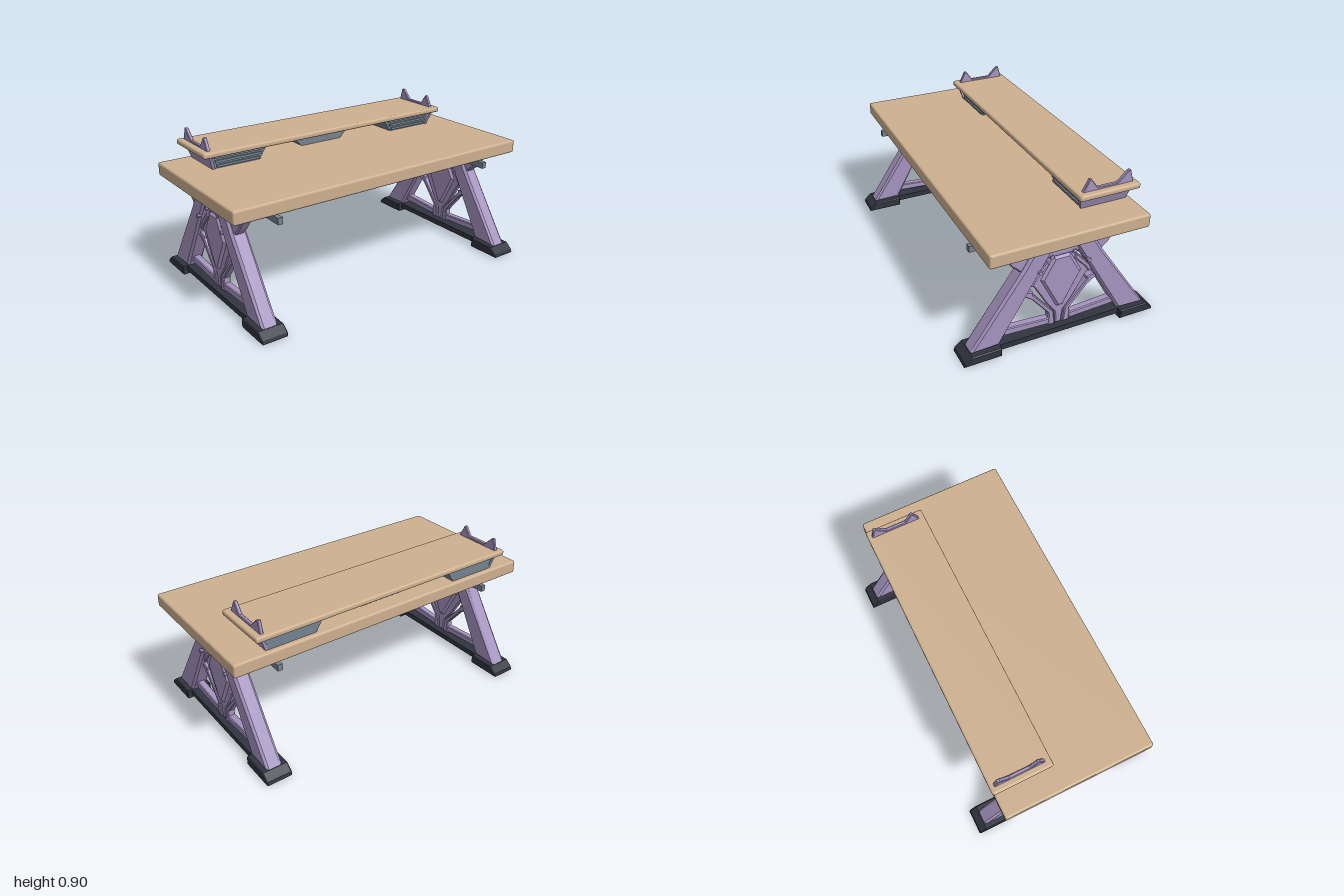
import * as THREE from 'three';
import { RoundedBoxGeometry } from 'three/addons/geometries/RoundedBoxGeometry.js';

const material = (color) => new THREE.MeshStandardMaterial({ color, flatShading: true });
const wood = material(0xcdb08f);
const violet = material(0xa594c0);
const dark = material(0x30343f);
const steel = material(0x74828f);

function add(parent, name, geometry, mat, x = 0, y = 0, z = 0) {
  const mesh = new THREE.Mesh(geometry, mat);
  mesh.name = name;
  mesh.position.set(x, y, z);
  parent.add(mesh);
  return mesh;
}

// Bevelled extrusion of an outline, centred on its own depth
function slab(points, width, bevel) {
  const shape = new THREE.Shape(points.map(([a, b]) => new THREE.Vector2(a, b)));
  const g = new THREE.ExtrudeGeometry(shape, {
    depth: width - 2 * bevel, bevelEnabled: bevel > 0, bevelSize: bevel,
    bevelThickness: bevel, bevelOffset: -bevel, bevelSegments: 1,
  });
  return g.translate(0, 0, -(width - 2 * bevel) / 2);
}

// Outline given as [z, y], extruded across x
const sideSlab = (points, width, bevel = 0) => slab(points, width, bevel).rotateY(-Math.PI / 2);
const flip = (points, s) => points.map(([z, y]) => [z * s, y]);
// Closes a half outline by mirroring it
const mirrored = (half) => [...half, ...flip(half, -1).reverse()];

// One A-shaped end frame
function endFrame() {
  const frame = new THREE.Group();
  frame.name = 'endFrame';
  add(frame, 'footBar', new THREE.BoxGeometry(0.1, 0.035, 0.8), dark, 0, 0.0375, 0);
  add(frame, 'topBracket', sideSlab(mirrored([
    [0.345, 0.632], [0.33, 0.585], [0.285, 0.525], [0.23, 0.475], [0.19, 0.475], [0.15, 0.52], [0.06, 0.52],
  ]), 0.062, 0.008), violet, 0, 0, 0.01);

  // Centre shield with raised facets
  add(frame, 'shield', sideSlab(mirrored([
    [0.05, 0.53], [0.11, 0.475], [0.175, 0.37], [0.15, 0.335], [0.08, 0.215], [0.025, 0.14], [0.018, 0.06],
  ]), 0.036, 0.006), violet);
  add(frame, 'shieldRidge', sideSlab(mirrored([
    [0.05, 0.52], [0.125, 0.385], [0.02, 0.18],
  ]), 0.064, 0.016), violet);

  for (const s of [1, -1]) {
    add(frame, 'foot', sideSlab(flip([
      [0.37, 0], [0.588, 0], [0.582, 0.02], [0.54, 0.055], [0.37, 0.055],
    ], s), 0.16, 0.006), dark);
    add(frame, 'leg', sideSlab(flip([
      [0.54, 0.05], [0.37, 0.05], [0.065, 0.585], [0.185, 0.585], [0.235, 0.5],
    ], s), 0.096, 0.014), violet);
    add(frame, 'strut', sideSlab(flip([
      [0.205, 0.335], [0.165, 0.32], [0.165, 0.305], [0.035, 0.15], [0.025, 0.06],
      [0.065, 0.06], [0.065, 0.145], [0.17, 0.272], [0.225, 0.31],
    ], s), 0.045, 0.005), violet);
    add(frame, 'shoulderArm', sideSlab(flip([
      [0.09, 0.5], [0.17, 0.41], [0.19, 0.37], [0.17, 0.36], [0.145, 0.4], [0.075, 0.475],
    ], s), 0.055, 0.005), violet);
    add(frame, 'lowerTie', sideSlab(flip([
      [0.38, 0.13], [0.06, 0.11], [0.06, 0.07], [0.38, 0.085],
    ], s), 0.045, 0.005), violet);
    for (const [z, y, length] of [[0.145, 0.465, 0.125], [0.068, 0.53, 0.082]]) {
      add(frame, 'bolt', new THREE.CylinderGeometry(0.012, 0.012, length, 8).rotateZ(Math.PI / 2),
        violet, 0, y, z * s);
    }
  }
  return frame;
}

export function createModel() {
  const desk = new THREE.Group();
  desk.name = 'desk';
  add(desk, 'tableTop', new RoundedBoxGeometry(2, 0.08, 0.92, 2, 0.012), wood, 0, 0.68, 0.012);
  add(desk, 'shelf', new RoundedBoxGeometry(1.74, 0.034, 0.365, 2, 0.012), wood, 0, 0.818, -0.278);

  // Central tapered shelf support
  add(desk, 'centreSupport', slab([
    [-0.24, 0.802], [-0.17, 0.733], [-0.155, 0.72], [0.135, 0.72], [0.15, 0.733], [0.22, 0.802],
  ], 0.12, 0), steel, 0, 0, -0.28);

  for (const s of [1, -1]) {
    const frame = endFrame();
    frame.position.x = s * 0.855;
    desk.add(frame);
    add(desk, 'rail', new THREE.BoxGeometry(0.03, 0.038, 0.92), steel, s * 0.735, 0.605, 0.015);
    add(desk, 'railMount', new THREE.BoxGeometry(0.02, 0.02, 0.3), steel, s * 0.735, 0.632, 0.015);

    // Side drawer housing with a slatted front
    const outline = [[0.44, 0.802], [0.49, 0.72], [0.785, 0.72], [0.812, 0.802]];
    add(desk, 'drawerHousing', slab(flip(outline, s), 0.27, 0), steel, 0, 0, -0.285);
    for (const [y, inset] of [[0.787, 0.012], [0.761, 0.022], [0.735, 0.038]]) {
      add(desk, 'drawerSlat', new THREE.BoxGeometry(0.33 - inset * 1.4, 0.014, 0.016),
        steel, s * (0.627 + inset * 0.2), y, -0.147);
    }

    // Leaning side plate below the shelf
    const plate = sideSlab([
      [-0.115, 0.805], [-0.433, 0.805], [-0.418, 0.718], [-0.142, 0.718],
    ], 0.018);
    const p = plate.attributes.position;
    for (let i = 0; i < p.count; i++) p.setX(i, p.getX(i) - s * (0.805 - p.getY(i)) * 0.35);
    plate.computeVertexNormals();
    add(desk, 'shelfSidePlate', plate, violet, s * 0.822, 0, 0);

    // Pointed end stop above the shelf
    add(desk, 'shelfEndStop', sideSlab([
      [-0.125, 0.825], [-0.165, 0.905], [-0.176, 0.905], [-0.218, 0.847], [-0.34, 0.847],
      [-0.4, 0.905], [-0.415, 0.905], [-0.436, 0.825],
    ], 0.022, 0.004), violet, s * 0.823, 0, 0);
  }
  return desk;
}
